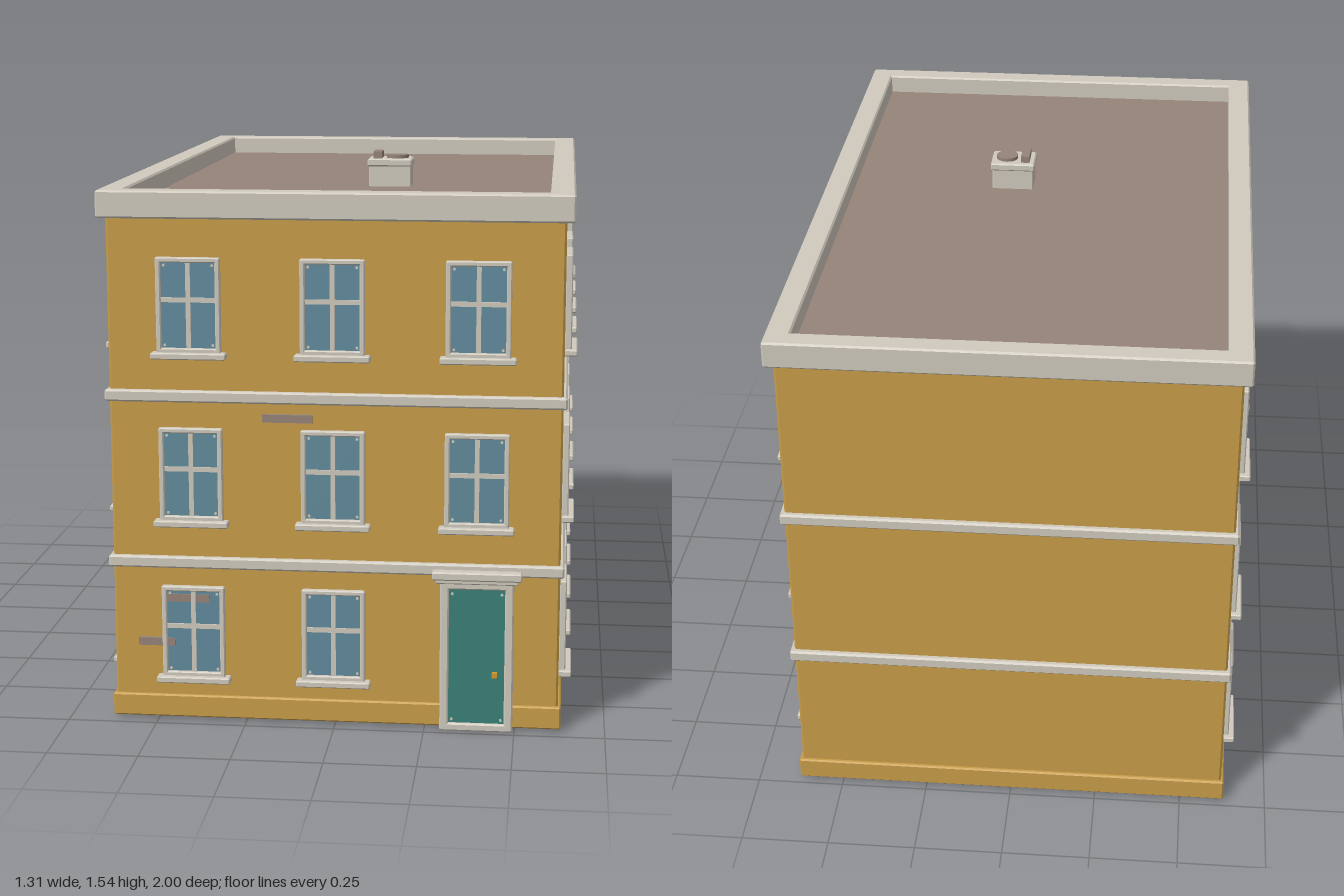
import * as THREE from 'three';

const mat = (name, color) => Object.assign(new THREE.MeshStandardMaterial({ color }), { name });

// Rectangle outline with optionally clipped corners
function rect(T, w, h, c = 0) {
  const x = w / 2, y = h / 2, s = new T();
  const pts = c
    ? [[-x + c, -y], [x - c, -y], [x, -y + c], [x, y - c], [x - c, y], [-x + c, y], [-x, y - c], [-x, -y + c]]
    : [[-x, -y], [x, -y], [x, y], [-x, y]];
  s.setFromPoints(pts.map(p => new THREE.Vector2(...p)));
  return s;
}

// Prism along +z, chamfered all round, with an optional rectangular hole
function prism(w, h, depth, c, hole) {
  const shape = rect(THREE.Shape, w, h, c);
  if (hole) shape.holes.push(rect(THREE.Path, hole[0], hole[1]));
  return new THREE.ExtrudeGeometry(shape, {
    depth: depth - 2 * c, bevelEnabled: c > 0, bevelThickness: c, bevelSize: c, bevelOffset: -c, bevelSegments: 1,
  }).translate(0, 0, c);
}

// The same prism standing upright between two heights
const slab = (w, d, y0, y1, c, hole) => prism(w, d, y1 - y0, c, hole).rotateX(-Math.PI / 2).translate(0, y0, 0);

export function createModel() {
  const model = new THREE.Group();
  model.name = 'building';
  const wall = mat('ochre wall', 0xc89d48), trim = mat('pale stone', 0xd0cabe), roofing = mat('brown roofing', 0x968479);
  const glass = mat('blue glass', 0x628b9c), paint = mat('green door paint', 0x3a8078), brass = mat('brass', 0xd09a30);

  const add = (parent, name, geo, m, x = 0, y = 0, z = 0) => {
    const mesh = new THREE.Mesh(geo, m);
    mesh.name = name;
    mesh.position.set(x, y, z);
    parent.add(mesh);
    return mesh;
  };
  const box = (parent, name, m, w, h, d, x, y, z) => add(parent, name, new THREE.BoxGeometry(w, h, d), m, x, y, z);

  // Walls, plinth, floor bands and parapet
  const cz = -0.008;
  add(model, 'walls', slab(1.24, 1.93, 0.02, 1.43, 0.006), wall, 0, 0, cz);
  add(model, 'plinth', slab(1.256, 1.95, 0.008, 0.072, 0.004), wall, 0, 0, cz);
  for (const y of [0.443, 0.913]) add(model, 'floorBand', slab(1.262, 1.96, y, y + 0.033, 0.005), trim, 0, 0, cz);
  add(model, 'parapet', slab(1.286, 1.978, 1.416, 1.491, 0.005, [1.15, 1.85]), trim, 0, 0, -0.011);
  box(model, 'roof', roofing, 1.16, 0.02, 1.86, 0, 1.425, -0.011);

  // Rooftop unit
  const unit = new THREE.Group();
  unit.name = 'roofUnit';
  unit.position.set(0.088, 0, 0.192);
  model.add(unit);
  add(unit, 'unitBody', slab(0.126, 0.096, 1.43, 1.5, 0.003), trim);
  add(unit, 'unitCap', slab(0.134, 0.104, 1.495, 1.518, 0.004), trim);
  add(unit, 'fanDisc', new THREE.CylinderGeometry(0.033, 0.033, 0.012, 16), roofing, 0.02, 1.522, 0);
  box(unit, 'unitVent', roofing, 0.026, 0.022, 0.072, -0.038, 1.527, 0);

  // A facade holder whose local +z points out of the wall
  const facade = (name, x, z, turn) => {
    const g = new THREE.Group();
    g.name = name;
    g.position.set(x, 0, z);
    g.rotation.y = turn;
    model.add(g);
    return g;
  };
  const front = facade('frontFacade', 0, 0.957, 0);
  const right = facade('rightFacade', 0.62, 0, Math.PI / 2);
  const left = facade('leftFacade', -0.62, 0, -Math.PI / 2);

  const frameGeo = prism(0.176, 0.262, 0.019, 0.003, [0.148, 0.234]);
  const sillGeo = prism(0.206, 0.018, 0.035, 0.003);
  const studGeo = new THREE.CylinderGeometry(0.004, 0.004, 0.004, 8).rotateX(Math.PI / 2);

  function studs(parent, w, h, y, z) {
    for (const sx of [-1, 1]) for (const sy of [-1, 1]) add(parent, 'stud', studGeo, trim, sx * w, y + sy * h, z);
  }

  // Sash window with a cross of glazing bars and a projecting sill
  function addWindow(parent, x, y) {
    const g = new THREE.Group();
    g.name = 'window';
    g.position.set(x, y, 0);
    parent.add(g);
    add(g, 'windowFrame', frameGeo, trim);
    box(g, 'pane', glass, 0.15, 0.236, 0.008, 0, 0, 0.004);
    box(g, 'uprightBar', trim, 0.013, 0.236, 0.012, 0, 0, 0.007);
    box(g, 'crossBar', trim, 0.15, 0.013, 0.012, 0, 0.015, 0.007);
    add(g, 'sill', sillGeo, trim, 0, -0.137, 0);
    studs(g, 0.066, 0.109, 0, 0.009);
  }

  const rows = [0.261, 0.711, 1.181];
  rows.forEach((y, i) => {
    for (const x of [-0.395, -0.003, 0.39]) if (i > 0 || x < 0.3) addWindow(front, x, y);
    for (let k = -2; k <= 2; k++) {
      addWindow(right, 0.008 + k * 0.371, y);
      addWindow(left, -0.008 + k * 0.371, y);
    }
  });

  // Entrance door
  const door = new THREE.Group();
  door.name = 'entrance';
  door.position.set(0.394, 0, 0);
  front.add(door);
  add(door, 'doorFrame', prism(0.202, 0.43, 0.026, 0.004, [0.154, 0.386]), trim, 0, 0.215, 0);
  box(door, 'doorPanel', paint, 0.158, 0.39, 0.016, 0, 0.215, 0.008);
  studs(door, 0.068, 0.181, 0.213, 0.017);
  box(door, 'doorHandle', brass, 0.014, 0.014, 0.016, 0.05, 0.165, 0.02);
  add(door, 'canopy', prism(0.226, 0.016, 0.036, 0.003), trim, 0, 0.434, 0);
  add(door, 'canopyTop', prism(0.246, 0.024, 0.043, 0.004), trim, 0, 0.449, 0);

  // Small wall vents: facade, centre, height, length
  const vents = [
    [front, -0.128, 0.873, 0.138], [front, -0.41, 0.357, 0.12], [front, -0.5, 0.228, 0.102],
    [right, 0.39, 0.868, 0.14], [right, 0.578, 0.746, 0.105], [left, -0.38, 1.004, 0.13],
  ];
  for (const [f, x, y, w] of vents) box(f, 'wallVent', roofing, w, 0.022, 0.02, x, y, 0.002);

  return model;
}
